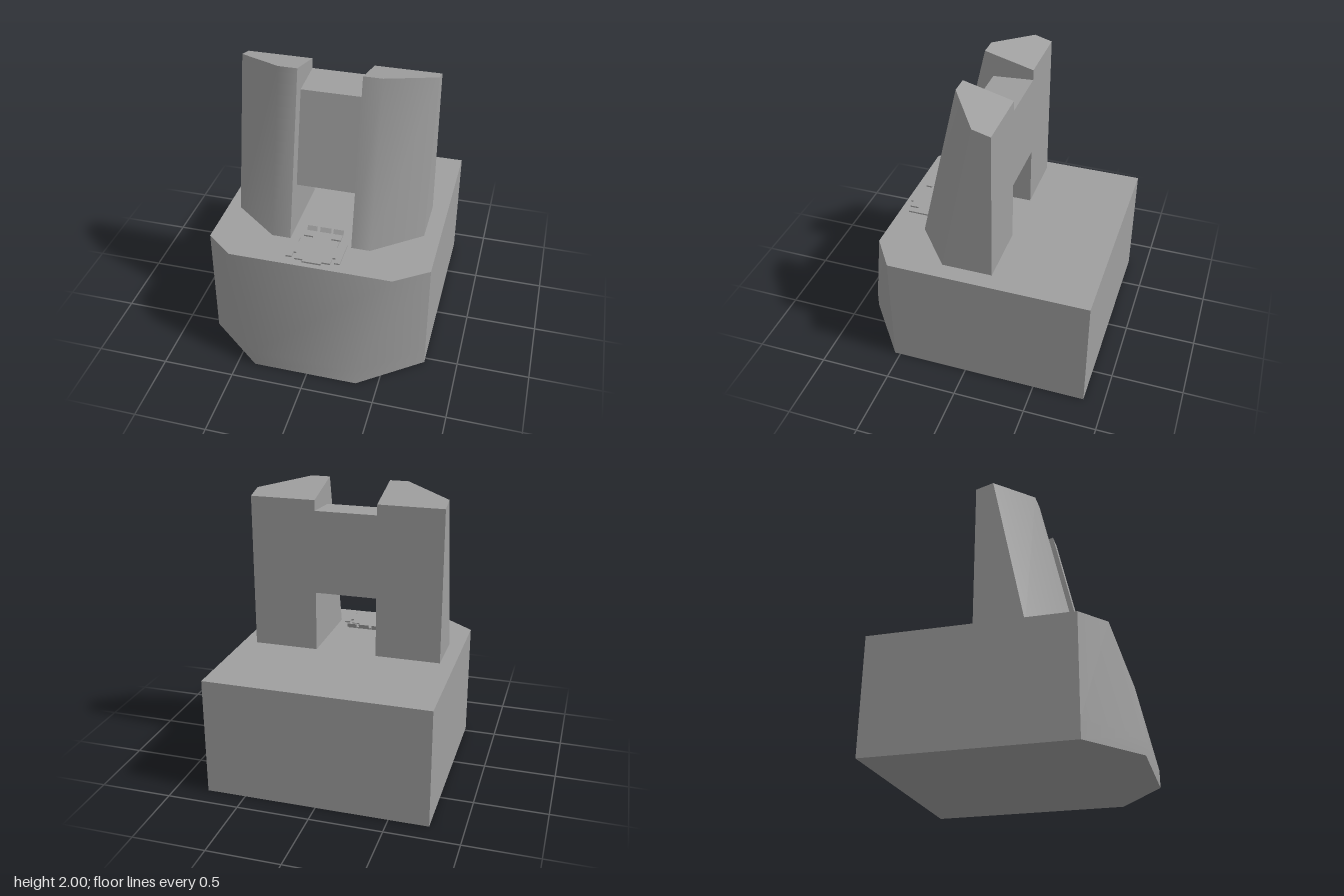
import * as THREE from 'three';
import { toCreasedNormals } from 'three/addons/utils/BufferGeometryUtils.js';

const material = new THREE.MeshStandardMaterial({ color: 0x9f9f9f });

// Closed convex solid from stacked rings of [x, y, z], each running
// back-left, front-left, front-right, back-right.
function loft(name, rings) {
  const pos = [];
  const tri = (...pts) => pts.forEach((p) => pos.push(...p));
  const n = rings[0].length;
  for (let r = 0; r < rings.length - 1; r++) {
    for (let i = 0; i < n; i++) {
      const j = (i + 1) % n;
      const [a, b, c, d] = [rings[r][i], rings[r][j], rings[r + 1][j], rings[r + 1][i]];
      tri(a, b, c);
      tri(a, c, d);
    }
  }
  const bottom = rings[0], top = rings[rings.length - 1];
  for (let i = 1; i < n - 1; i++) {
    tri(bottom[0], bottom[i + 1], bottom[i]);
    tri(top[0], top[i], top[i + 1]);
  }
  const geo = new THREE.BufferGeometry();
  geo.setAttribute('position', new THREE.Float32BufferAttribute(pos, 3));
  const mesh = new THREE.Mesh(toCreasedNormals(geo, 0.75), material);
  mesh.name = name;
  return mesh;
}

// Base outline with chamfered front corners
function baseRing(y, x0, x1, frontZ) {
  return [
    [-0.772, y, -0.86], [-0.772, y, 0.54], [x0, y, frontZ],
    [x1, y, frontZ], [0.772, y, 0.54], [0.772, y, -0.86],
  ];
}

// Leaning tower with a chamfered outer front corner; side is +1 or -1
function tower(name, side) {
  const x = (v) => -0.007 + side * v;
  const lower = [
    [x(0.215), 0.838, -0.165], [x(0.215), 0.838, 0.442], [x(0.345), 0.838, 0.442],
    [x(0.668), 0.838, 0.185], [x(0.668), 0.838, -0.165],
  ];
  const upper = [
    [x(0.215), 1.91, -0.165], [x(0.215), 2, 0.175], [x(0.345), 2, 0.175],
    [x(0.668), 1.943, -0.043], [x(0.668), 1.91, -0.165],
  ];
  if (side < 0) [lower, upper].forEach((ring) => ring.reverse());
  return loft(name, [lower, upper]);
}

// Block from x0 to x1; the side profile lists [y, z] for
// bottom back, bottom front, top front and top back.
function leaningBlock(name, x0, x1, [bottomBack, bottomFront, topFront, topBack]) {
  const ring = (back, front) => [[x0, ...back], [x0, ...front], [x1, ...front], [x1, ...back]];
  return loft(name, [ring(bottomBack, bottomFront), ring(topBack, topFront)]);
}

// Thin notched plate lying on the base
function plate() {
  const half = [
    [0.13, 0.325], [0.13, 0.385], [0.065, 0.385], [0.065, 0.4], [0.125, 0.4],
    [0.125, 0.47], [0.147, 0.47], [0.147, 0.42], [0.187, 0.42], [0.187, 0.63],
    [0.147, 0.63], [0.147, 0.58], [0.125, 0.58], [0.125, 0.645], [0.065, 0.645],
    [0.065, 0.665],
  ];
  const outline = [...half, ...half.map(([x, z]) => [-x, z]).reverse()];
  const shape = new THREE.Shape(outline.map(([x, z]) => new THREE.Vector2(x, -z)));
  const geo = new THREE.ExtrudeGeometry(shape, { depth: 0.011, bevelEnabled: false });
  geo.rotateX(-Math.PI / 2);
  const mesh = new THREE.Mesh(geo, material);
  mesh.name = 'notchedPlate';
  mesh.position.set(-0.01, 0.829, 0);
  return mesh;
}

export function createModel() {
  const model = new THREE.Group();
  model.name = 'twinTowerStand';

  // Base with a sloping front
  model.add(loft('base', [
    baseRing(0, -0.378, 0.35, 0.86), baseRing(0.12, -0.378, 0.35, 0.86),
    baseRing(0.826, -0.578, 0.545, 0.7),
  ]));

  // Towers and the bridge joining them, its underside rising to the back
  model.add(tower('leftTower', 1), tower('rightTower', -1));
  model.add(leaningBlock('bridge', -0.222, 0.208,
    [[1.26, -0.165], [1.163, 0.263], [1.82, 0.117], [1.837, -0.165]]));

  // Plate with three upright tabs along its back edge
  model.add(plate());
  [[-0.135, -0.066], [-0.043, 0.034], [0.051, 0.122]].forEach(([x0, x1], i) => {
    model.add(leaningBlock(`tab${i + 1}`, x0, x1,
      [[0.838, 0.312], [0.838, 0.327], [0.868, 0.307], [0.868, 0.302]]));
  });

  return model;
}
